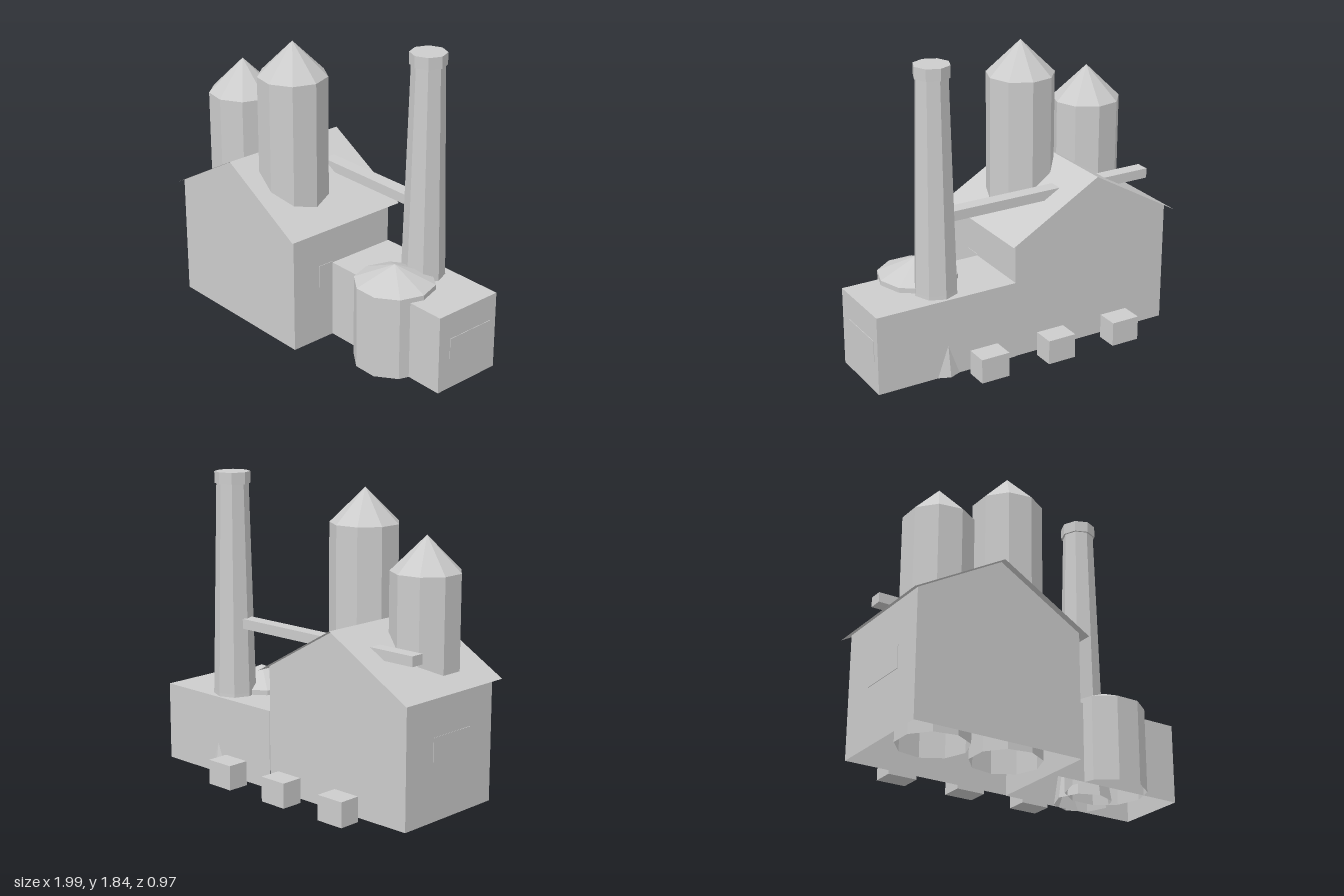
import * as THREE from 'three';

const grey = new THREE.MeshStandardMaterial({ color: 0xcccccc, flatShading: true, side: THREE.DoubleSide });
grey.name = 'light grey';

export function createModel() {
  const model = new THREE.Group();
  model.name = 'factory';

  function add(name, geometry, x = 0, y = 0, z = 0, parent = model) {
    const mesh = new THREE.Mesh(geometry, grey);
    mesh.name = name;
    mesh.position.set(x, y, z);
    parent.add(mesh);
    return mesh;
  }

  // Box given by its limits; faces listed in skip are left out (+x -x +y -y +z -z = 0..5)
  function box(name, [x0, x1], [y0, y1], [z0, z1], skip = []) {
    const g = new THREE.BoxGeometry(x1 - x0, y1 - y0, z1 - z0);
    const index = Array.from(g.index.array).filter((_, i) => !skip.includes(Math.floor(i / 6)));
    g.setIndex(index);
    g.clearGroups();
    return add(name, g, (x0 + x1) / 2, (y0 + y1) / 2, (z0 + z1) / 2);
  }

  // Main hall: two gable ends and two side walls, open underneath
  const mid = -0.435, half = 0.525, eave = 0.75, ridge = 1.05, back = -0.3, front = 0.44;
  const hall = new THREE.Group();
  hall.name = 'mainHall';
  model.add(hall);
  const gable = new THREE.Shape([[-half, 0], [half, 0], [half, eave], [0, ridge], [-half, eave]]
    .map(([x, y]) => new THREE.Vector2(x, y)));
  add('frontGable', new THREE.ShapeGeometry(gable), mid, 0, front, hall);
  add('backGable', new THREE.ShapeGeometry(gable).rotateY(Math.PI), mid, 0, back, hall);
  for (const s of [-1, 1]) {
    const wall = new THREE.PlaneGeometry(front - back, eave).rotateY(s * Math.PI / 2);
    add('sideWall', wall, mid + s * half, eave / 2, (front + back) / 2, hall);
  }

  // Thin overhanging roof slopes
  const run = 0.565, drop = run * (ridge - eave) / half;
  for (const s of [-1, 1]) {
    const slope = new THREE.PlaneGeometry(Math.hypot(run, drop), 0.83)
      .rotateX(-Math.PI / 2).rotateZ(-s * Math.atan2(drop, run));
    add('roofSlope', slope, mid + s * run / 2, ridge - drop / 2, 0.065, hall);
  }

  // Low side hall
  box('sideHall', [0.09, 0.985], [0, 0.48], [-0.305, 0.145], [1, 3]);

  // Window plates on the end walls
  box('leftWindow', [-0.963, -0.958], [0.35, 0.49], [-0.07, 0.25]);
  box('rightWindow', [0.088, 0.093], [0.35, 0.49], [0.146, 0.25]);
  box('sideHallWindow', [0.983, 0.988], [0.19, 0.32], [-0.26, 0.06]);

  // Round vessel with a conical top and a corner facing +x
  function vessel(name, x, z, r, wallTop, apex, sides) {
    const group = new THREE.Group();
    group.name = name;
    group.position.set(x, 0, z);
    model.add(group);
    add('body', new THREE.CylinderGeometry(r, r, wallTop, sides, 1, true, Math.PI / 2),
      0, wallTop / 2, 0, group);
    add('cone', new THREE.ConeGeometry(r, apex - wallTop, sides, 1, true, Math.PI / 2),
      0, (wallTop + apex) / 2, 0, group);
  }
  vessel('shortSilo', -0.688, 0.17, 0.207, 1.35, 1.555, 9);
  vessel('tallSilo', -0.223, 0.17, 0.207, 1.575, 1.78, 9);
  vessel('tank', 0.538, 0.065, 0.238, 0.51, 0.615, 10);

  // Flared eight-sided chimney with a collar
  const profile = [[0.172, 0], [0.142, 0.2], [0.128, 0.5], [0.096, 1.765], [0.107, 1.765], [0.107, 1.835], [0, 1.835]]
    .map(([r, y]) => new THREE.Vector2(r, y));
  add('chimney', new THREE.LatheGeometry(profile, 8), 0.538, 0, -0.162);

  // Duct through the roof to the chimney
  box('duct', [-0.9, 0.44], [0.9, 0.96], [-0.19, -0.105]);

  // Small units behind the hall
  for (const x of [-0.57, -0.12, 0.33]) {
    box('outdoorUnit', [x - 0.09, x + 0.09], [0, 0.15], [-0.487, -0.352]);
  }

  return model;
}
